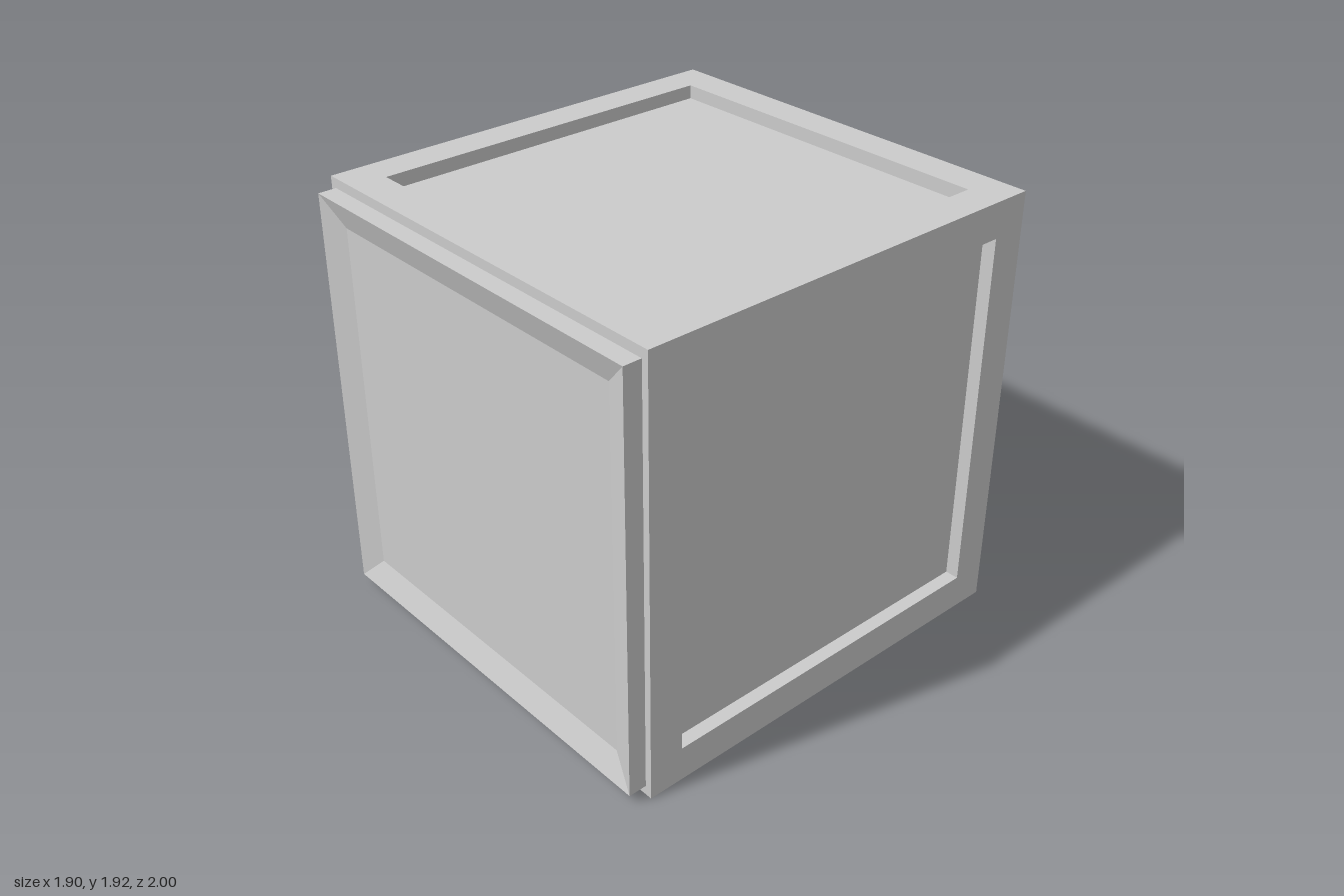
import * as THREE from 'three';

const W = 1.9, H = 1.925, BACK = -1, FRONT = 0.92;
const D = FRONT - BACK, MID_Z = (FRONT + BACK) / 2;
const BAR = 0.155; // frame bar width
const INSET = 0.06; // depth of the recessed panels

export function createModel() {
  const group = new THREE.Group();
  const material = new THREE.MeshStandardMaterial({ color: 0xcccccc, flatShading: true });

  const add = (name, geometry, x, y, z) => {
    const mesh = new THREE.Mesh(geometry, material);
    mesh.name = name;
    mesh.position.set(x, y, z);
    group.add(mesh);
  };

  // Rectangle outline centred on the origin
  const rect = (Type, w, h) => new Type([
    new THREE.Vector2(-w / 2, -h / 2), new THREE.Vector2(w / 2, -h / 2),
    new THREE.Vector2(w / 2, h / 2), new THREE.Vector2(-w / 2, h / 2),
  ]);

  // Horizontal frames at the bottom and the top
  const outline = rect(THREE.Shape, W, D);
  outline.holes.push(rect(THREE.Path, W - 2 * BAR, D - 2 * BAR));
  const frame = new THREE.ExtrudeGeometry(outline, { depth: BAR, bevelEnabled: false });
  frame.rotateX(-Math.PI / 2);
  add('bottomFrame', frame, 0, 0, MID_Z);
  add('topFrame', frame, 0, H - BAR, MID_Z);

  // Corner posts
  const post = new THREE.BoxGeometry(BAR, H - 2 * BAR, BAR);
  for (const sx of [-1, 1]) {
    for (const sz of [-1, 1]) {
      add('cornerPost', post, sx * (W - BAR) / 2, H / 2, MID_Z + sz * (D - BAR) / 2);
    }
  }

  // Inner body whose faces form the recessed panels
  add('panels', new THREE.BoxGeometry(W - 2 * INSET, H - 2 * INSET, D - 2 * INSET), 0, H / 2, MID_Z);

  // Front door: four-sided slab with a shallow sloped dish
  const profile = [[0, 0], [0.92, 0], [0.92, 0.08], [0.8, 0.04], [0, 0.04]]
    .map(([r, y]) => new THREE.Vector2(r * Math.SQRT2, y));
  const door = new THREE.LatheGeometry(profile, 4, Math.PI / 4);
  door.rotateX(Math.PI / 2);
  add('door', door, 0, H / 2, FRONT);

  return group;
}
